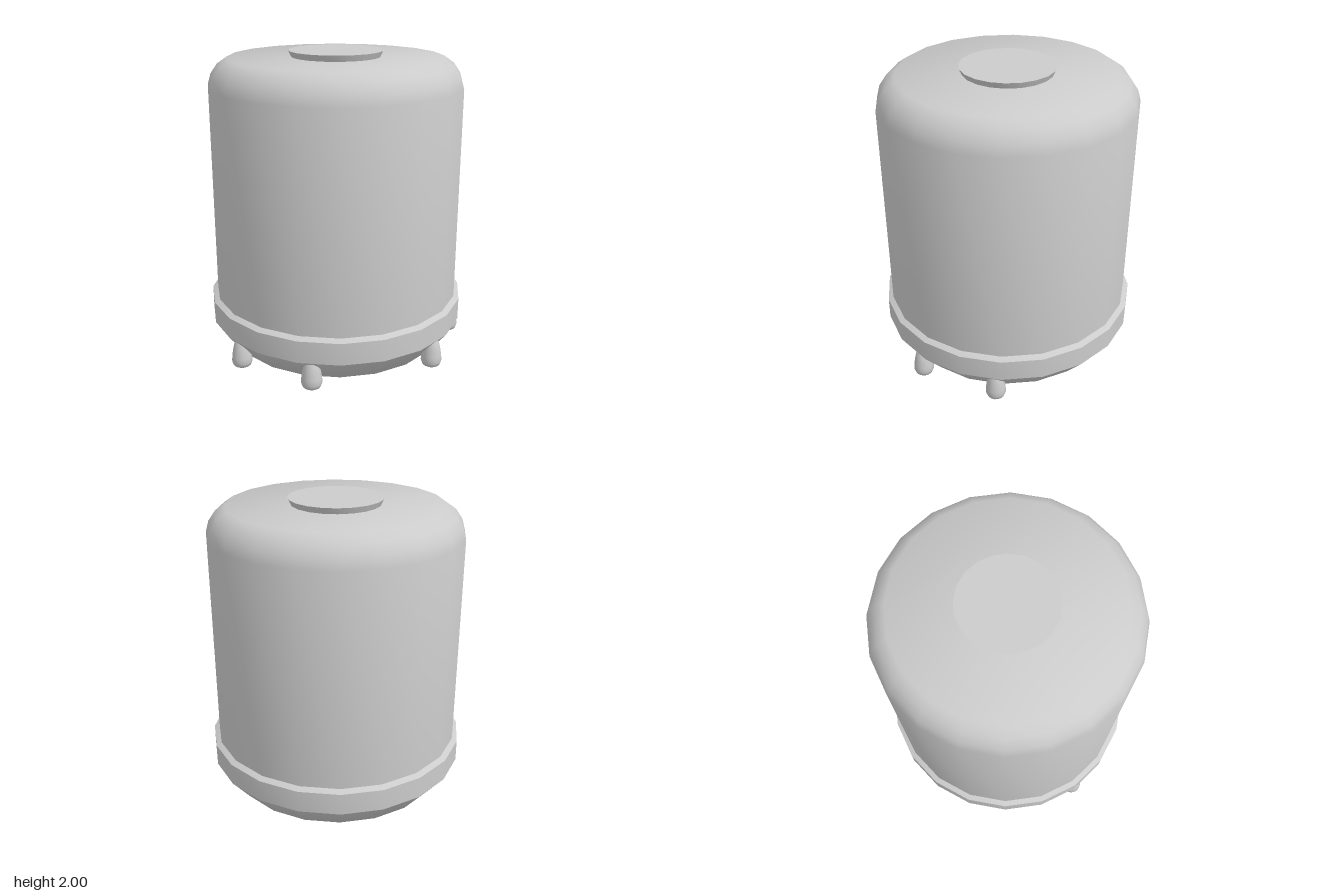
import * as THREE from 'three';
import { toCreasedNormals } from 'three/addons/utils/BufferGeometryUtils.js';

const SIDES = 20;
const material = new THREE.MeshStandardMaterial({ color: 0xcccccc });

// Turned part from [radius, height] pairs, bottom to top, with sharp edges above the crease angle
function turned(name, profile, sides = SIDES, crease = 0.62) {
  const points = profile.map(([r, y]) => new THREE.Vector2(r, y));
  const geometry = toCreasedNormals(new THREE.LatheGeometry(points, sides), crease);
  const mesh = new THREE.Mesh(geometry, material);
  mesh.name = name;
  return mesh;
}

export function createModel() {
  const model = new THREE.Group();
  model.name = 'canister';

  // Tall drum with a rounded shoulder and flat top
  model.add(turned('drum', [
    [0.835, 0.34], [0.835, 1.78], [0.815, 1.85], [0.77, 1.915], [0.705, 1.96], [0, 1.96],
  ]));

  // Base: flat floor, sloping underside and a band around the drum
  model.add(turned('base', [
    [0, 0.01], [0.66, 0.01], [0.74, 0.04], [0.845, 0.17], [0.87, 0.2],
    [0.87, 0.347], [0.835, 0.366],
  ]));

  // Low flared cap on top
  model.add(turned('cap', [[0.29, 1.955], [0.31, 2], [0, 2]]));

  // Egg-shaped toes tucked under the front of the band
  const toeProfile = [
    [0, 0], [0.035, 0.003], [0.058, 0.018], [0.068, 0.045], [0.065, 0.08],
    [0.057, 0.13], [0.045, 0.18], [0.028, 0.215], [0, 0.23],
  ];
  const toes = [
    ['outerToeRight', -0.76, 0.285], ['innerToeRight', -0.415, 0.695],
    ['innerToeLeft', 0.41, 0.705], ['outerToeLeft', 0.752, 0.285],
  ];
  for (const [name, x, z] of toes) {
    const toe = turned(name, toeProfile, 16, 1.2);
    toe.position.set(x, 0, z);
    model.add(toe);
  }

  return model;
}
